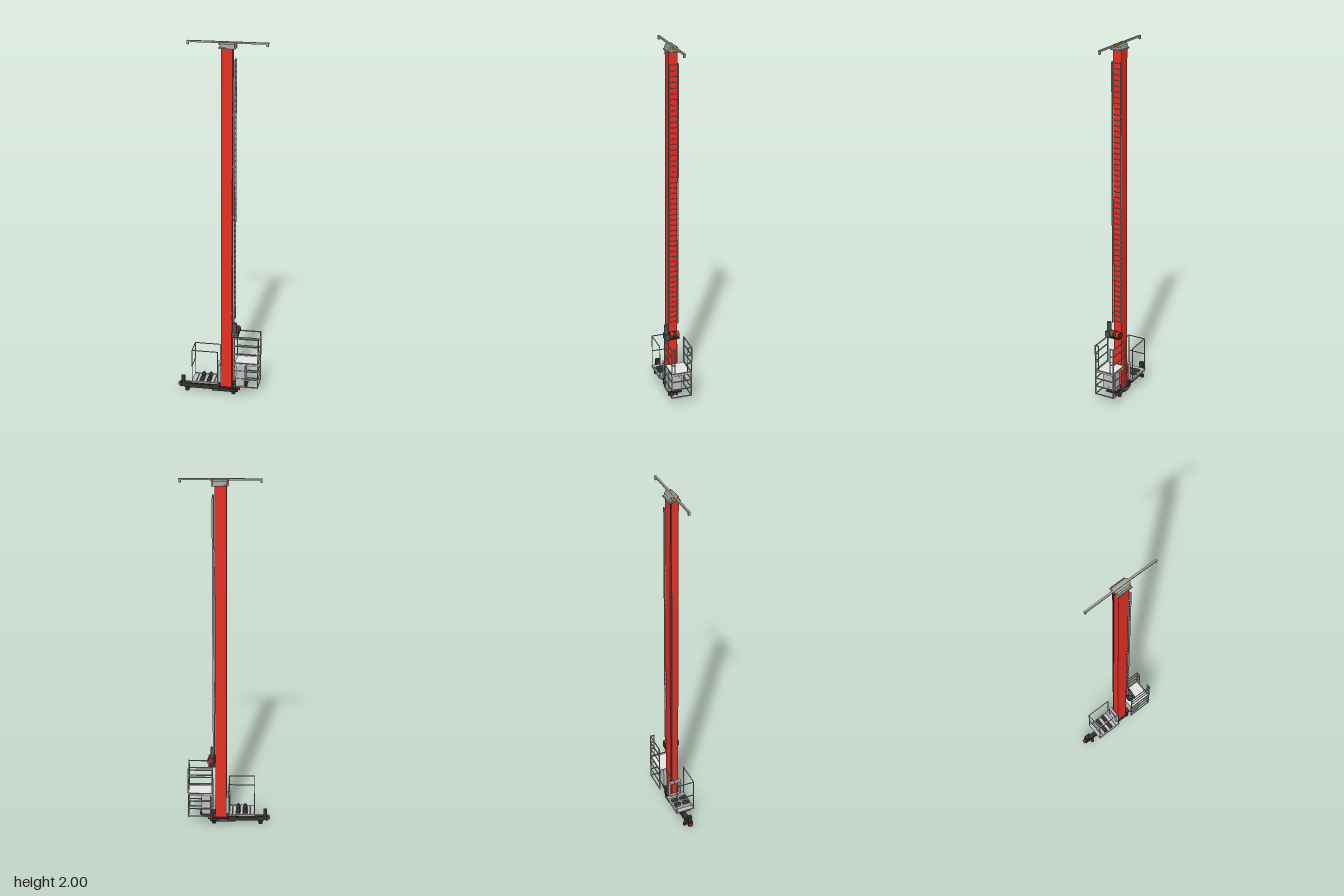
import * as THREE from 'three';

const material = (name, color) => {
  const m = new THREE.MeshStandardMaterial({ color });
  m.name = name;
  return m;
};

export function createModel() {
  const root = new THREE.Group();
  root.name = 'stackerCrane';
  const red = material('mastRed', 0xe63023);
  const dark = material('machineBlack', 0x333333);
  const grey = material('steelGrey', 0xa3a4a4);
  const light = material('panelGrey', 0xbebebe);
  const floorGrey = material('floorGrey', 0xe4e4e4);
  const rail = material('railGrey', 0x9c9e9e);
  const teal = material('motorTeal', 0x435355);
  const orange = material('rollerOrange', 0xe8901f);

  const group = (name) => {
    const g = new THREE.Group();
    g.name = name;
    root.add(g);
    return g;
  };
  // Box given by its extents
  const box = (parent, name, mat, x0, x1, y0, y1, z0, z1) => {
    const m = new THREE.Mesh(new THREE.BoxGeometry(x1 - x0, y1 - y0, z1 - z0), mat);
    m.position.set((x0 + x1) / 2, (y0 + y1) / 2, (z0 + z1) / 2);
    m.name = name;
    parent.add(m);
  };
  // Cylinder centred on a point, along a named axis
  const cyl = (parent, name, mat, axis, r, len, x, y, z) => {
    const m = new THREE.Mesh(new THREE.CylinderGeometry(r, r, len, 20), mat);
    if (axis === 'x') m.rotation.z = Math.PI / 2;
    if (axis === 'z') m.rotation.x = Math.PI / 2;
    m.position.set(x, y, z);
    m.name = name;
    parent.add(m);
  };
  // Outline extruded along z between two depths
  const slab = (parent, name, mat, points, z0, z1) => {
    const shape = new THREE.Shape(points.map(([a, b]) => new THREE.Vector2(a, b)));
    const m = new THREE.Mesh(new THREE.ExtrudeGeometry(shape, { depth: z1 - z0, bevelEnabled: false }), mat);
    m.position.z = z0;
    m.name = name;
    parent.add(m);
    return m;
  };

  // Mast with a guide strip on its load side
  const mast = group('mast');
  box(mast, 'mastColumn', red, 0.001, 0.062, 0.04, 1.97, -0.024, 0.024);
  box(mast, 'guideStrip', dark, -0.0005, 0.001, 0.06, 1.965, -0.022, -0.012);
  box(mast, 'mastFoot', dark, -0.012, 0.078, 0.036, 0.046, -0.033, 0.033);

  // Ladder
  const ladder = group('ladder');
  for (const s of [-1, 1]) {
    box(ladder, 'ladderStile', rail, 0.066, 0.076, 0.45, 1.908, s * 0.0255 - 0.002, s * 0.0255 + 0.002);
    for (let y = 0.5; y < 1.9; y += 0.28)
      box(ladder, 'ladderBracket', rail, 0.06, 0.068, y, y + 0.006, s * 0.0245 - 0.002, s * 0.0245 + 0.002);
  }
  for (let i = 0; i < 49; i++)
    box(ladder, 'ladderRung', rail, 0.0695, 0.0725, 0.46 + i * 0.03, 0.463 + i * 0.03, -0.025, 0.025);

  // Mast head: cap with sloping sides, cross beam and guide rollers
  const head = group('mastHead');
  box(head, 'headPlate', grey, -0.01, 0.078, 1.967, 1.973, -0.032, 0.031);
  const cap = slab(head, 'headCap', grey, [
    [-0.027, 1.973], [0.027, 1.973], [0.024, 1.99], [0.017, 1.996], [-0.017, 1.996], [-0.024, 1.99],
  ], 0, 0.074);
  cap.rotation.y = Math.PI / 2;
  cap.position.x = -0.003;
  box(head, 'crossBeam', grey, -0.18, 0.245, 1.991, 2, -0.005, 0.005);
  for (const x of [-0.18, 0.232]) box(head, 'beamEnd', grey, x, x + 0.011, 1.979, 1.993, -0.005, 0.005);
  for (const x of [-0.006, 0.074]) for (const s of [-1, 1])
    cyl(head, 'headRoller', orange, 'y', 0.006, 0.014, x, 1.99, s * 0.011);

  // Base carriage
  const base = group('baseCarriage');
  box(base, 'baseBeam', dark, -0.21, 0.09, 0.018, 0.042, -0.013, 0.013);
  box(base, 'baseBlock', dark, -0.05, 0.085, 0.014, 0.046, -0.02, 0.02);
  box(base, 'endBlock', dark, -0.237, -0.18, 0.022, 0.045, -0.013, 0.013);
  box(base, 'endPost', dark, -0.228, -0.208, 0.045, 0.083, -0.012, 0.012);
  cyl(base, 'endBuffer', red, 'x', 0.01, 0.01, -0.24, 0.034, 0);
  cyl(base, 'frontBuffer', red, 'x', 0.01, 0.012, 0.1, 0.03, 0);
  box(base, 'frontBlock', dark, 0.07, 0.095, 0.014, 0.044, -0.016, 0.016);
  for (const x of [-0.192, 0.072]) {
    cyl(base, 'trackWheel', dark, 'z', 0.016, 0.012, x, 0.019, 0);
    for (const s of [-1, 1]) cyl(base, 'sideGuideWheel', dark, 'y', 0.011, 0.014, x, 0.012, s * 0.018);
  }
  cyl(base, 'travelMotor', teal, 'x', 0.01, 0.05, 0.02, 0.03, -0.029);

  // Load platform with slatted deck
  const deck = group('loadPlatform');
  for (const s of [-1, 1])
    box(deck, 'deckSide', grey, -0.16, -0.01, 0.07, 0.082, s * 0.051 - 0.003, s * 0.051 + 0.003);
  for (const [a, b] of [[-0.16, -0.135], [-0.132, -0.117], [-0.114, -0.097], [-0.093, -0.077], [-0.073, -0.057], [-0.054, -0.035], [-0.032, -0.01]])
    box(deck, 'deckSlat', light, a, b, 0.072, 0.08, -0.05, 0.05);
  box(deck, 'deckUnderside', dark, -0.152, -0.018, 0.06, 0.0715, -0.04, 0.04);
  for (const x of [-0.105, -0.065]) for (const s of [-1, 1]) {
    const roller = new THREE.Mesh(new THREE.CapsuleGeometry(0.0095, 0.026, 5, 16), dark);
    roller.rotation.x = Math.PI / 2;
    roller.position.set(x, 0.09, s * 0.0255);
    roller.name = 'deckRoller';
    deck.add(roller);
  }
  const t = 0.002;
  for (const s of [-1, 1]) {
    const z = s * 0.051;
    for (const x of [-0.157, -0.014]) box(deck, 'deckPost', rail, x - t, x + t, 0.08, 0.272, z - t, z + t);
    box(deck, 'deckTopRail', rail, -0.159, -0.012, 0.268, 0.272, z - t, z + t);
  }
  for (const y of [0.175, 0.27]) box(deck, 'deckEndRail', rail, -0.159, -0.155, y - t, y + t, -0.051, 0.051);

  // Carriage frame between deck and mast
  const frame = group('carriageFrame');
  for (const s of [-1, 1])
    box(frame, 'framePost', light, -0.02, 0.003, 0.075, 0.18, s * 0.031 - 0.003, s * 0.031 + 0.003);
  for (const y of [0.075, 0.168]) box(frame, 'frameBar', light, -0.02, -0.006, y, y + 0.012, -0.034, 0.034);
  box(frame, 'frameSupport', dark, -0.05, 0, 0.045, 0.07, -0.02, 0.02);

  // Service cage
  const cage = group('serviceCage');
  const [cx0, cx1, cz0, cz1] = [0.081, 0.213, -0.058, 0.054];
  for (const x of [cx0, cx1]) for (const z of [cz0, cz1])
    box(cage, 'cagePost', rail, x - 0.003, x + 0.003, 0.066, 0.366, z - 0.003, z + 0.003);
  for (const y of [0.07, 0.118, 0.166, 0.215, 0.27, 0.318, 0.363]) {
    for (const z of [cz0, cz1]) box(cage, 'cageSideRail', rail, cx0, cx1, y - 0.003, y + 0.003, z - 0.002, z + 0.002);
    // Above the floor the end is open between the gate posts
    const spans = y < 0.25 ? [[cz0, cz1]] : [[cz0, -0.036], [0.036, cz1]];
    for (const [a, b] of spans) box(cage, 'cageEndRail', rail, cx1 - t, cx1 + t, y - 0.003, y + 0.003, a, b);
  }
  for (const z of [-0.036, 0.036]) box(cage, 'gatePost', rail, cx1 - t, cx1 + t, 0.21, 0.366, z - t, z + t);
  box(cage, 'cageFloor', floorGrey, 0.083, 0.211, 0.2, 0.208, cz0 + 0.002, cz1 - 0.002);
  box(cage, 'controlCabinet', light, 0.09, 0.138, 0.07, 0.2, -0.028, 0.052);
  for (const z of [-0.024, 0.015])
    box(cage, 'cabinetDoor', light, 0.138, 0.141, 0.08, 0.192, z, z + 0.034);
  box(cage, 'mainSwitch', red, 0.141, 0.144, 0.15, 0.16, -0.014, -0.008);
  slab(cage, 'cageBracket', dark, [[0.064, 0.042], [0.1, 0.046], [0.15, 0.06], [0.15, 0.067], [0.064, 0.067]], -0.025, 0.025);

  // Hoist with drum and upright motor
  const hoist = group('hoist');
  box(hoist, 'hoistBase', dark, 0.062, 0.1, 0.366, 0.375, -0.028, 0.05);
  cyl(hoist, 'hoistDrum', red, 'z', 0.0175, 0.05, 0.089, 0.392, 0);
  cyl(hoist, 'drumBand', dark, 'z', 0.0187, 0.024, 0.089, 0.392, 0);
  for (const s of [-1, 1])
    box(hoist, 'drumSupport', dark, 0.062, 0.094, 0.374, 0.398, s * 0.0265 - 0.002, s * 0.0265 + 0.002);
  box(hoist, 'gearbox', teal, 0.066, 0.102, 0.37, 0.402, 0.029, 0.057);
  cyl(hoist, 'hoistMotor', teal, 'y', 0.013, 0.05, 0.08, 0.426, 0.044);
  cyl(hoist, 'motorCap', teal, 'y', 0.0115, 0.004, 0.08, 0.451, 0.044);

  return root;
}
